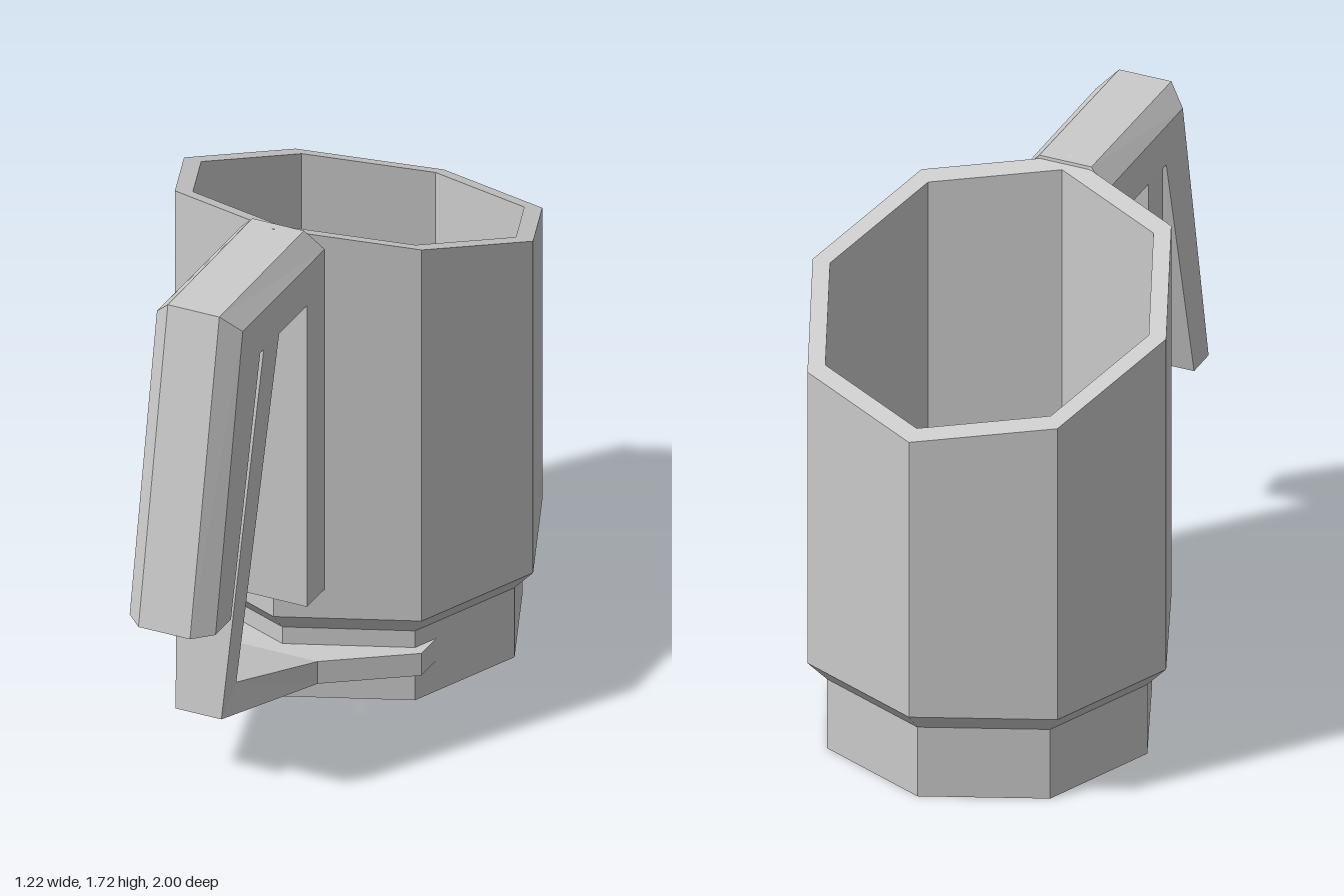
import * as THREE from 'three';

const material = new THREE.MeshStandardMaterial({ color: 0xcccccc, flatShading: true, side: THREE.DoubleSide });

// Skins a list of equal-length rings of [x, y, z] points; either caps the ends or joins last to first.
function loft(rings, joined = false) {
  const n = rings[0].length, index = [];
  const steps = joined ? rings.length : rings.length - 1;
  for (let r = 0; r < steps; r++) {
    const s = (r + 1) % rings.length;
    for (let i = 0; i < n; i++) {
      const j = (i + 1) % n;
      const a = r * n + i, b = r * n + j, c = s * n + j, d = s * n + i;
      index.push(a, b, c, a, c, d);
    }
  }
  if (!joined) {
    const last = (rings.length - 1) * n;
    for (let i = 1; i < n - 1; i++) index.push(0, i + 1, i, last, last + i, last + i + 1);
  }
  const geometry = new THREE.BufferGeometry();
  geometry.setAttribute('position', new THREE.Float32BufferAttribute(rings.flat(2), 3));
  geometry.setIndex(index);
  const flat = geometry.toNonIndexed();
  flat.computeVertexNormals();
  return flat;
}

// Eight-sided ring; height may depend on z
function octagon(radius, height) {
  return Array.from({ length: 8 }, (_, i) => {
    const t = (i * Math.PI) / 4;
    const z = -0.39 + radius * Math.cos(t);
    return [radius * Math.sin(t), typeof height === 'function' ? height(z) : height, z];
  });
}

export function createModel() {
  const group = new THREE.Group();
  const add = (name, geometry) => {
    const mesh = new THREE.Mesh(geometry, material);
    mesh.name = name;
    group.add(mesh);
    return mesh;
  };

  // Open tube with a narrower foot and a slanted rim
  const rim = (z) => 1.515 + 0.33 * (z + 0.39);
  add('body', loft([
    octagon(0.545, 0), octagon(0.545, 0.25), octagon(0.61, 0.32), octagon(0.61, rim),
    octagon(0.55, rim), octagon(0.55, 0.4), octagon(0.48, 0),
  ], true));

  // Chamfered hook: each station gives [z, y] for inner edge, chamfer and outer face
  const hookStations = [
    [[0.16, 1.51], [0.16, 1.65], [0.185, 1.715]],
    [[0.62, 1.51], [0.745, 1.65], [0.79, 1.71]],
    [[0.83, 0.655], [0.94, 0.655], [1.0, 0.655]],
  ];
  add('handleHook', loft(hookStations.map(([inner, side, outer]) => {
    const half = [[0.15, inner], [0.15, side], [0.09, outer]];
    return [
      ...half.map(([x, [z, y]]) => [x, y, z]),
      ...half.reverse().map(([x, [z, y]]) => [-x, y, z]),
    ];
  })));

  // Upright pad where the hook meets the body
  add('handleMount', new THREE.BoxGeometry(0.3, 1.085, 0.125)).position.set(0, 0.9675, 0.2225);

  // Bent strut, waisted at the elbow: half width, inner [z, y], outer [z, y]
  const strutStations = [
    [0.15, [0.485, 1.51], [0.595, 1.51]],
    [0.08, [0.648, 0.32], [0.755, 0.24]],
    [0.15, [0.21, 0.19], [0.21, 0.11]],
  ];
  add('strut', loft(strutStations.map(([w, [zi, yi], [zo, yo]]) => [
    [w, yi, zi], [w, yo, zo], [-w, yo, zo], [-w, yi, zi],
  ])));

  // Flat plate passing through the foot
  const outline = [[0.15, 0.21], [-0.15, 0.21], [-0.42, 0.02], [-0.42, -0.13], [0.42, -0.13], [0.42, 0.02]];
  const shape = new THREE.Shape(outline.map(([x, z]) => new THREE.Vector2(x, z)));
  const plate = new THREE.ExtrudeGeometry(shape, { depth: 0.08, bevelEnabled: false });
  plate.rotateX(Math.PI / 2);
  add('footPlate', plate).position.y = 0.19;

  return group;
}
